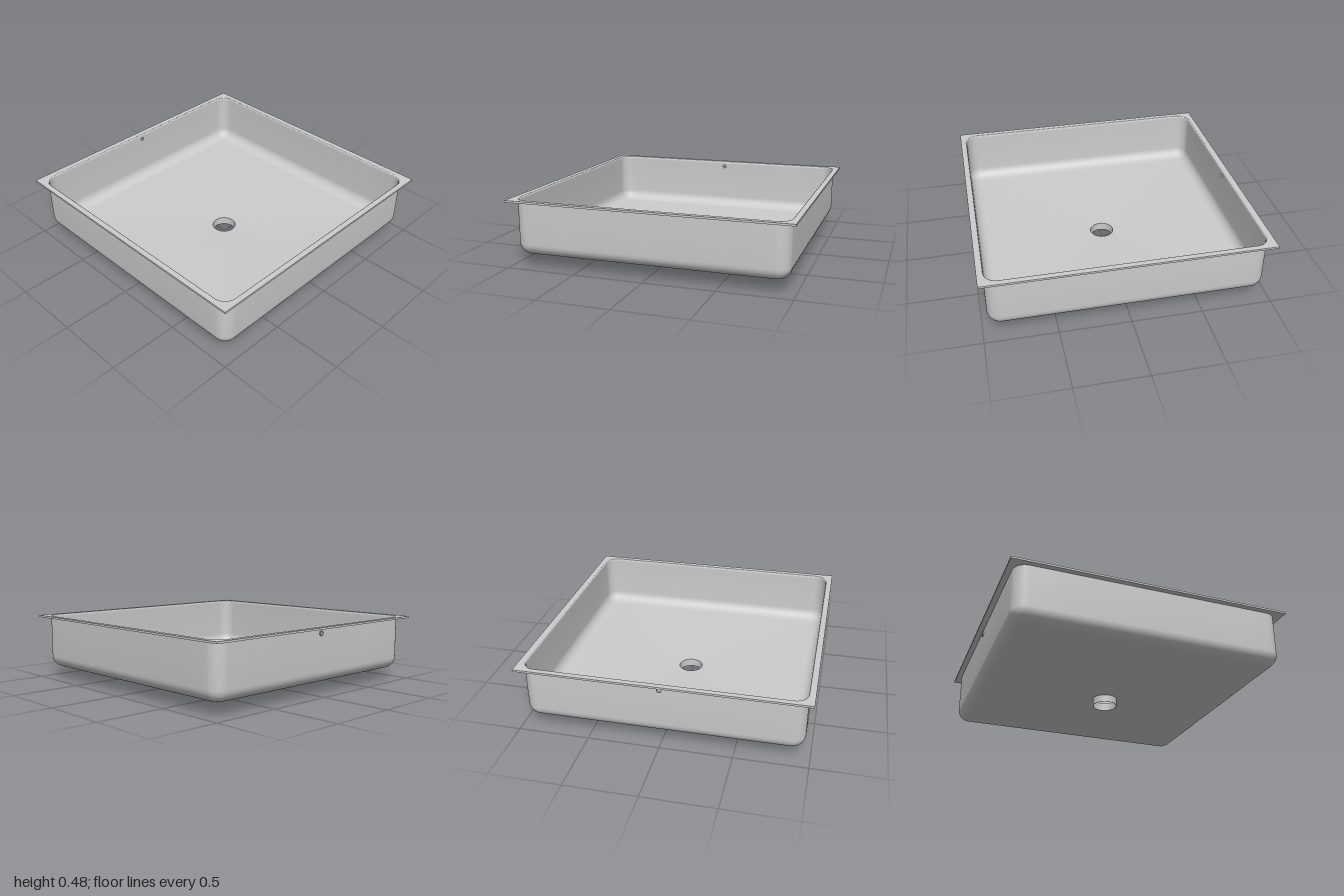
import * as THREE from 'three';
import { toCreasedNormals } from 'three/addons/utils/BufferGeometryUtils.js';

const L = 0.865;                       // corner-arc centres sit at (+-L, +-L)
const OUT = 0.095, IN = 0.09;          // outer and inner corner radii of the wall
const T = OUT - IN;                    // sheet thickness
const TOP = 0.48, UNDER = 0.466;       // rim top and underside
const HOLE_Y = 0.436, PATCH = 0.024;   // overflow height, half size of its wall patch
const DRAIN = 0.09;

const mat = new THREE.MeshStandardMaterial({ color: 0xcccccc, side: THREE.DoubleSide });

// Outline template: corner centre (cx, cz) and outward direction (dx, dz) per point
function outline() {
  const pts = [];
  const along = [0.75, 0.5, 0.25, 0.1].map((k) => k * L);
  const steps = [...along, PATCH, -PATCH, ...along.map((v) => -v).reverse()];
  for (let q = 0; q < 4; q++) {
    const a0 = (q * Math.PI) / 2, c = Math.cos(a0), s = Math.sin(a0);
    const add = (x, z, a) => pts.push({
      cx: x * c - z * s, cz: x * s + z * c, dx: Math.cos(a0 + a), dz: Math.sin(a0 + a),
    });
    steps.slice().reverse().forEach((z) => add(L, z, 0));
    for (let i = 0; i <= 10; i++) add(L, L, (i / 10) * Math.PI / 2);
  }
  return pts;
}
const OUTLINE = outline();

// Rounded-square ring, optionally blended towards the round drain (k = 0..1)
function ring(r, y, k = 0, R = DRAIN) {
  return OUTLINE.map((p) => {
    const x = p.cx + p.dx * r, z = p.cz + p.dz * r, d = Math.hypot(x, z);
    return new THREE.Vector3(
      THREE.MathUtils.lerp(x, (x / d) * R, k), y, THREE.MathUtils.lerp(z, (z / d) * R, k));
  });
}

// One skin of the bowl from the wall top down to the drain's lower end
function skin(wall, R) {
  const rings = [ring(wall, HOLE_Y + PATCH), ring(wall, HOLE_Y - PATCH)];
  const f = wall - 0.01, yc = 0.17;                       // bottom fillet
  for (let i = 0; i <= 9; i++) {
    const a = (i / 9) * Math.PI / 2;
    rings.push(ring(0.01 + f * Math.cos(a), yc - f * Math.sin(a)));
  }
  const yEdge = yc - f, drop = 0.03;                      // floor falling to the drain
  for (const k of [0.04, 0.35, 0.7, 1]) rings.push(ring(0.01, yEdge - drop * k, k, R));
  rings.push(ring(0.01, 0, 1, R));                        // drain pipe
  return rings;
}

function loft(rings) {
  const n = OUTLINE.length, index = [];
  const inPatch = (p) => p.x < -0.9 && Math.abs(p.z) < PATCH + 1e-4 && Math.abs(p.y - HOLE_Y) < PATCH + 1e-4;
  for (let i = 0; i < rings.length - 1; i++) {
    for (let j = 0; j < n; j++) {
      const m = (j + 1) % n;
      const quad = [rings[i][j], rings[i][m], rings[i + 1][j], rings[i + 1][m]];
      if (quad.every(inPatch)) continue;                  // opening for the overflow
      const a = i * n + j, b = i * n + m, c = a + n, d = b + n;
      index.push(a, c, b, b, c, d);
    }
  }
  const g = new THREE.BufferGeometry();
  g.setAttribute('position', new THREE.Float32BufferAttribute(rings.flat().flatMap((p) => [p.x, p.y, p.z]), 3));
  g.setIndex(index);
  return toCreasedNormals(g, 0.6);
}

// Flat plate with a hole, extruded along +z
function plate(half, hole, depth) {
  const s = new THREE.Shape([[-1, -1], [1, -1], [1, 1], [-1, 1]]
    .map(([x, y]) => new THREE.Vector2(x * half, y * half)));
  s.holes.push(hole);
  return new THREE.ExtrudeGeometry(s, { depth, bevelEnabled: false, curveSegments: 24 });
}

export function createModel() {
  const group = new THREE.Group();
  const add = (name, geometry) => {
    const mesh = new THREE.Mesh(geometry, mat);
    mesh.name = name;
    group.add(mesh);
    return mesh;
  };

  // Bowl: rounded lip, inner skin, then outer skin back up to the rim
  const lip = 0.008, lipRings = [];
  for (let i = 0; i <= 4; i++) {
    const a = (i / 4) * Math.PI / 2;
    lipRings.push(ring(IN + lip * (1 - Math.sin(a)), TOP - lip * (1 - Math.cos(a))));
  }
  add('bowl', loft([
    ...lipRings,
    ...skin(IN, DRAIN - 0.003),
    ...skin(OUT, DRAIN).reverse(),
    ring(OUT, UNDER), ring(IN + lip, UNDER),
  ]));

  // Square rim around the opening
  const opening = new THREE.Path(ring(IN + lip, 0).map((p) => new THREE.Vector2(p.x, p.z)));
  const rim = plate(1, opening, TOP - UNDER);
  rim.rotateX(-Math.PI / 2).translate(0, UNDER, 0);
  add('rim', rim);

  // Wall patch pierced by the overflow hole
  const bore = new THREE.Path().absarc(0, 0, 0.014, 0, Math.PI * 2, true);
  const patch = plate(PATCH, bore, T);
  patch.rotateY(Math.PI / 2).translate(-(L + OUT), HOLE_Y, 0);
  add('overflowWall', patch);

  // Short collar outside the overflow hole
  const collar = new THREE.LatheGeometry(
    [[0.014, 0], [0.018, 0], [0.018, 0.008], [0.014, 0.008], [0.014, 0]].map(([x, y]) => new THREE.Vector2(x, y)), 24);
  collar.rotateZ(Math.PI / 2).translate(-(L + OUT), HOLE_Y, 0);
  add('overflowCollar', toCreasedNormals(collar, 0.6));

  return group;
}
